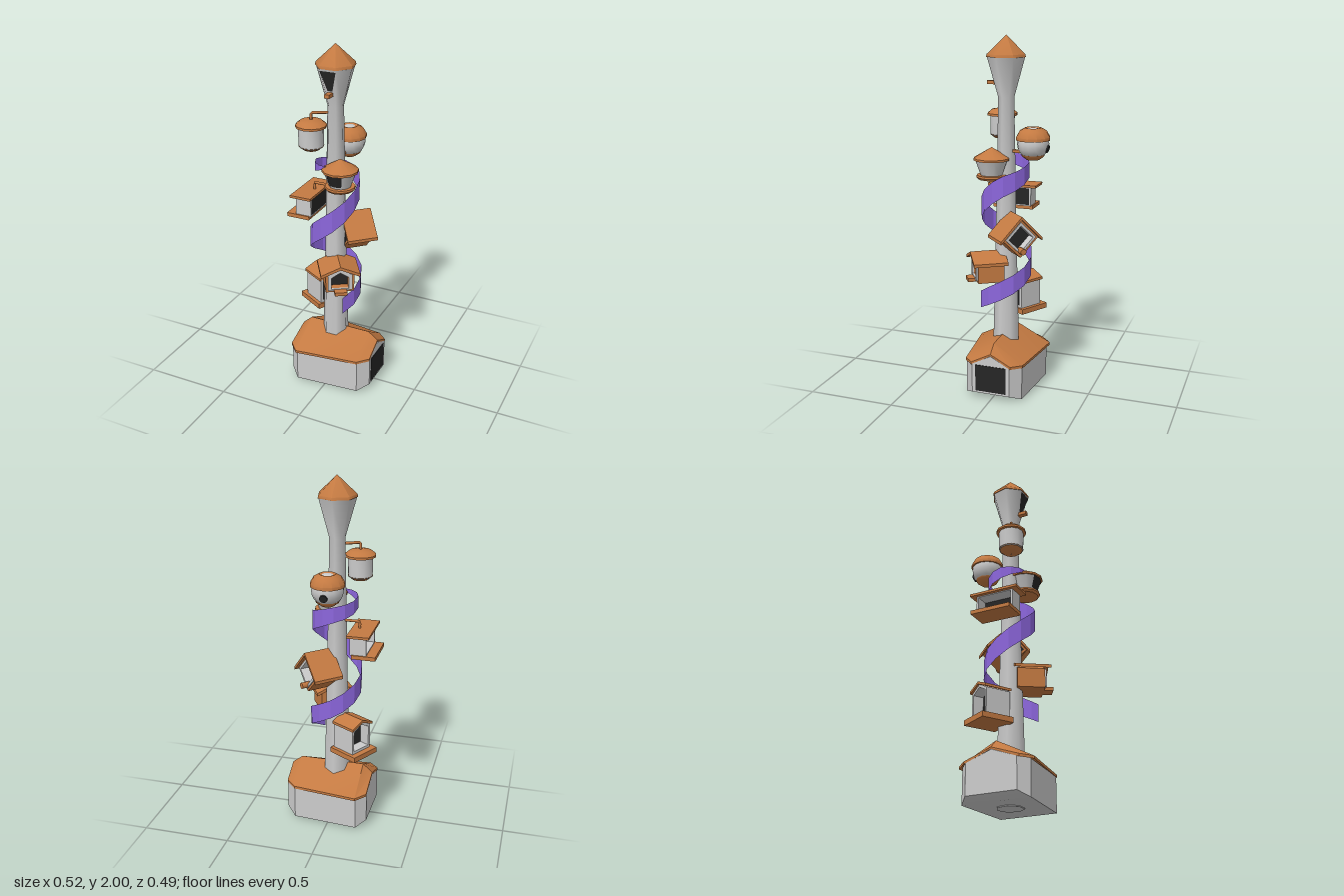
import * as THREE from 'three';
import { toCreasedNormals } from 'three/addons/utils/BufferGeometryUtils.js';

const mat = (color, side = THREE.FrontSide) => new THREE.MeshStandardMaterial({ color, side });
const GREY = mat(0xcccccc), WOOD = mat(0xc47a42), DARK = mat(0x262626);
const RIBBON = mat(0x8c66dc, THREE.DoubleSide);
const AXIS = -0.01; // x of the pole

function add(parent, name, geo, material, x = 0, y = 0, z = 0) {
  const m = new THREE.Mesh(geo, material);
  m.name = name;
  m.position.set(x, y, z);
  parent.add(m);
  return m;
}
const box = (w, h, d) => new THREE.BoxGeometry(w, h, d);
const lathe = (pts, n, crease = 0.7) => toCreasedNormals(
  new THREE.LatheGeometry(pts.map(p => new THREE.Vector2(...p)), n), crease);
const poly = pts => new THREE.Shape(pts.map(p => new THREE.Vector2(...p)));
const extrude = (shape, depth) => new THREE.ExtrudeGeometry(shape, { depth, bevelEnabled: false });
// Inverted V roof section
const chevron = (w, eave, ridge, t) => poly([[w, eave - t], [w, eave], [0, ridge], [-w, eave], [-w, eave - t], [0, ridge - t]]);
const gable = (w, bottom, eave, ridge) => [[-w, bottom], [w, bottom], [w, eave], [0, ridge], [-w, eave]];

// Skin over equal rings of [z, y] placed along x
function loft(sections) {
  const v = [], P = sections.map(s => s.ring.map(([z, y]) => [s.x, y, z]));
  const n = P[0].length, last = P.length - 1;
  const tri = (a, b, c) => v.push(...a, ...b, ...c);
  for (let i = 0; i < last; i++) for (let k = 0; k < n; k++) {
    const a = P[i][k], b = P[i][(k + 1) % n], c = P[i + 1][(k + 1) % n], d = P[i + 1][k];
    tri(a, b, d); tri(b, c, d);
  }
  for (let k = 2; k < n; k++) { // end caps
    const p = k, q = (k + 1) % n;
    tri(P[last][1], P[last][p], P[last][q]);
    tri(P[0][1], P[0][q], P[0][p]);
  }
  const g = new THREE.BufferGeometry();
  g.setAttribute('position', new THREE.Float32BufferAttribute(v, 3));
  return toCreasedNormals(g, 0.6);
}

// Group whose +z points outwards from the pole
function branch(root, name, yawDeg) {
  const g = new THREE.Group();
  g.name = name;
  g.position.x = AXIS;
  g.rotation.y = THREE.MathUtils.degToRad(yawDeg);
  root.add(g);
  return g;
}
// Walls with a recessed dark opening
function walls(parent, outline, hole, z0, z1, material = GREY, recess = 0.05) {
  const s = poly(outline);
  s.holes.push(poly(hole));
  add(parent, 'walls', extrude(s, z1 - z0), material, 0, 0, z0);
  add(parent, 'darkInterior', extrude(poly(hole), z1 - z0 - recess), DARK, 0, 0, z0);
}
// Rod rising from a roof and bending into the pole
function hanger(parent, from, height, endX, endZ) {
  const [x, y, z] = from, path = new THREE.CurvePath();
  const a = new THREE.Vector3(x, y, z), b = new THREE.Vector3(x, height, z), c = new THREE.Vector3(endX, height, endZ);
  path.add(new THREE.LineCurve3(a, b));
  path.add(new THREE.LineCurve3(b, c));
  add(parent, 'hanger', new THREE.TubeGeometry(path, 12, 0.008, 6), WOOD);
}

function buildBase(root) {
  const g = new THREE.Group();
  g.name = 'baseHouse';
  root.add(g);
  // x, wall half width, floor, roof half width, eave, ridge
  const S = [[-0.225, 0.145, 0.035, 0.157, 0.215, 0.27], [-0.17, 0.195, 0.005, 0.215, 0.21, 0.32],
    [0.2, 0.165, 0.005, 0.17, 0.21, 0.32], [0.258, 0.11, 0.035, 0.115, 0.215, 0.275]];
  add(g, 'baseWalls', loft(S.map(([x, w, f, , e, r]) => ({
    x, ring: [[w, f], [-w, f], [-w, e - 0.01], [0, r - 0.012], [w, e - 0.01]] }))), GREY);
  add(g, 'baseRoof', loft(S.map(([x, , , w, e, r]) => ({
    x, ring: [[w, e - 0.015], [0, r - 0.01], [-w, e - 0.015], [-w, e], [0, r], [w, e]] }))), WOOD);
  add(g, 'baseOpening', box(0.01, 0.155, 0.18), DARK, 0.256, 0.125, 0);
}

function buildPole(root) {
  const g = branch(root, 'pole', 0);
  const shaft = lathe([[0, 0], [0.075, 0], [0.075, 0.3], [0.06, 0.9], [0.045, 1.67], [0.107, 1.89]], 7, 0.95);
  const roof = lathe([[0, 1.885], [0.11, 1.885], [0.107, 1.9], [0.001, 2]], 7, 0.95);
  add(g, 'shaft', shaft, GREY).rotation.y = Math.PI;
  add(g, 'topRoof', roof, WOOD).rotation.y = Math.PI;
  // Tapered opening in the flared head
  const q = new THREE.BufferGeometry();
  q.setAttribute('position', new THREE.Float32BufferAttribute(
    [-0.046, 1.875, 0.097, -0.014, 1.765, 0.068, 0.014, 1.765, 0.068, 0.046, 1.875, 0.097], 3));
  q.setIndex([0, 1, 2, 0, 2, 3]);
  q.computeVertexNormals();
  add(g, 'topOpening', q, DARK);
  add(g, 'topPerch', box(0.028, 0.02, 0.06), WOOD, 0, 1.747, 0.078);
}

function buildRibbon(root) {
  // angle, height, half width, radius
  const K = [[40, 0.53, 0.05, 0.155], [90, 0.6, 0.055, 0.15], [180, 0.72, 0.055, 0.145], [270, 0.85, 0.06, 0.145],
    [360, 1.02, 0.065, 0.14], [450, 1.19, 0.06, 0.135], [540, 1.27, 0.045, 0.13], [630, 1.315, 0.035, 0.12], [715, 1.35, 0.006, 0.1]];
  const pos = [], idx = [], steps = 24;
  for (let i = 0; i <= steps; i++) {
    const a = 40 + 675 * i / steps;
    const k = Math.min(K.length - 2, Math.max(0, K.findIndex(p => p[0] > a) - 1 + (a >= 715 ? K.length : 0)));
    const t = (a - K[k][0]) / (K[k + 1][0] - K[k][0]);
    const [y, h, r] = [1, 2, 3].map(j => THREE.MathUtils.lerp(K[k][j], K[k + 1][j], t));
    const rad = THREE.MathUtils.degToRad(a);
    for (const s of [-1, 1]) pos.push(AXIS + r * Math.sin(rad), y + s * h, r * Math.cos(rad));
    if (i < steps) idx.push(2 * i, 2 * i + 2, 2 * i + 1, 2 * i + 1, 2 * i + 2, 2 * i + 3);
  }
  const g = new THREE.BufferGeometry();
  g.setAttribute('position', new THREE.Float32BufferAttribute(pos, 3));
  g.setIndex(idx);
  add(root, 'spiralRibbon', toCreasedNormals(g, 0.3), RIBBON);
}

function buildGabledHouses(root) {
  // Low house on a tray
  const low = branch(root, 'trayHouse', -120);
  walls(low, gable(0.072, 0.455, 0.605, 0.64), gable(0.058, 0.475, 0.595, 0.625), 0.05, 0.195, GREY, 0.06);
  add(low, 'roof', extrude(chevron(0.08, 0.622, 0.655, 0.015), 0.16), WOOD, 0, 0, 0.045);
  add(low, 'tray', box(0.185, 0.03, 0.19), WOOD, 0, 0.445, 0.135);

  // Wooden house with an arched doorway
  const arch = branch(root, 'archHouse', 33);
  const door = gable(0.048, 0.665, 0.735, 0.765);
  walls(arch, gable(0.08, 0.642, 0.75, 0.795), door, 0.03, 0.18, WOOD, 0.04);
  const face = poly(gable(0.068, 0.655, 0.75, 0.787));
  face.holes.push(poly(door));
  add(arch, 'doorFrame', extrude(face, 0.012), GREY, 0, 0, 0.178);
  add(arch, 'roof', extrude(chevron(0.11, 0.763, 0.81, 0.018), 0.195), WOOD, 0, 0, 0.015);
  add(arch, 'perch', box(0.07, 0.02, 0.05), WOOD, 0, 0.652, 0.205);

  // Square house standing on its corner
  const diamond = branch(root, 'diamondHouse', 134);
  const rhomb = r => [[0, 0.92 - r], [r, 0.92], [0, 0.92 + r], [-r, 0.92]];
  walls(diamond, rhomb(0.11), rhomb(0.092), 0.04, 0.185, WOOD, 0.08);
  walls(diamond, rhomb(0.092), rhomb(0.072), 0.05, 0.192);
  add(diamond, 'roof', extrude(chevron(0.125, 0.918, 1.045, 0.018), 0.175), WOOD, 0, 0, 0.03);
  add(diamond, 'perch', new THREE.CylinderGeometry(0.018, 0.018, 0.05, 8).rotateX(Math.PI / 2), WOOD, 0, 0.852, 0.2);

  // Long hanging feeder, open to the side
  const feeder = branch(root, 'longFeeder', -90);
  walls(feeder, [[-0.11, 1.045], [0.11, 1.045], [0.11, 1.155], [-0.11, 1.155]],
    [[-0.1, 1.052], [0.1, 1.052], [0.1, 1.148], [-0.1, 1.148]], 0.1, 0.192, GREY, 0.08);
  add(feeder, 'roof', box(0.285, 0.014, 0.125), WOOD, 0, 1.16, 0.15);
  add(feeder, 'tray', box(0.235, 0.022, 0.135), WOOD, 0, 1.036, 0.177);
  hanger(feeder, [0, 1.16, 0.13], 1.205, 0, 0.04);
}

function buildRoundHouses(root) {
  const place = (name, x, z) => {
    const g = new THREE.Group();
    g.name = name;
    g.position.set(x, 0, z);
    root.add(g);
    return g;
  };
  // Flared bowl house with a conical roof
  const bowl = place('bowlHouse', 0.048, 0.066);
  add(bowl, 'bowl', lathe([[0, 1.24], [0.058, 1.24], [0.092, 1.335], [0, 1.335]], 12), GREY);
  add(bowl, 'floorDisc', lathe([[0, 1.225], [0.075, 1.225], [0.085, 1.237], [0.083, 1.248], [0, 1.248]], 12), WOOD);
  add(bowl, 'roof', lathe([[0, 1.33], [0.1, 1.33], [0.1, 1.342], [0.001, 1.4]], 12), WOOD);
  add(bowl, 'opening', new THREE.CylinderGeometry(0.092, 0.068, 0.068, 2, 1, true, -Math.PI / 6, Math.PI / 3), DARK, 0, 1.295, 0);

  // Hanging lantern house
  const lantern = place('lanternHouse', -0.125, 0.064);
  add(lantern, 'lanternBody', lathe([[0, 1.445], [0.068, 1.445], [0.07, 1.56], [0, 1.56]], 12), GREY);
  add(lantern, 'bottomCap', lathe([[0.001, 1.42], [0.045, 1.428], [0.07, 1.45], [0, 1.45]], 12), WOOD);
  add(lantern, 'roof', lathe([[0, 1.555], [0.085, 1.555], [0.085, 1.567], [0.06, 1.588], [0.02, 1.595], [0.001, 1.595]], 12), WOOD);
  hanger(lantern, [0, 1.59, 0], 1.632, 0.09, -0.05);

  // Ball house at the back
  const ball = place('ballHouse', 0, -0.157);
  add(ball, 'ball', new THREE.SphereGeometry(0.088, 14, 10), GREY, 0, 1.425, 0);
  add(ball, 'roof', lathe([[0, 1.445], [0.094, 1.445], [0.094, 1.462], [0.075, 1.495], [0.045, 1.512], [0.02, 1.505], [0.001, 1.5]], 12), WOOD);
  add(ball, 'bottomCap', lathe([[0.001, 1.332], [0.035, 1.337], [0.062, 1.357], [0.066, 1.366], [0, 1.366]], 12), WOOD);
  const hole = add(ball, 'hole', new THREE.CylinderGeometry(0.022, 0.022, 0.012, 10).rotateX(Math.PI / 2), DARK, 0, 1.4, -0.082);
  hole.rotation.x = -0.3;
  add(ball, 'bracket', box(0.02, 0.016, 0.13), WOOD, 0, 1.378, 0.065);
}

export function createModel() {
  const root = new THREE.Group();
  root.name = 'birdhouseTower';
  buildBase(root);
  buildPole(root);
  buildRibbon(root);
  buildGabledHouses(root);
  buildRoundHouses(root);
  return root;
}
